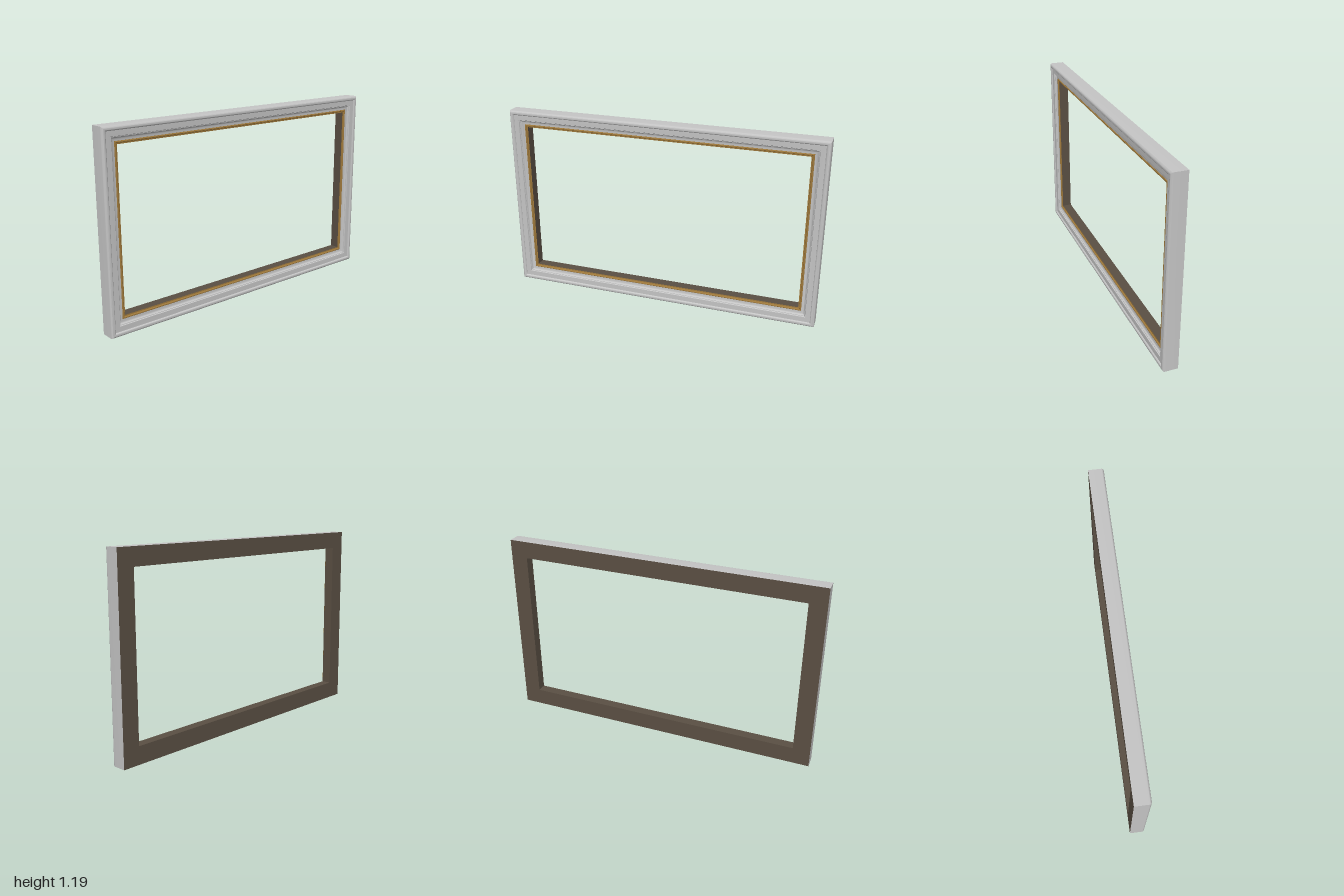
import * as THREE from 'three';
import { toCreasedNormals } from 'three/addons/utils/BufferGeometryUtils.js';

const W = 1, H = 1.19; // half width, full height

// Corner signs, counter-clockwise seen from the front
const CORNERS = [[1, -1], [1, 1], [-1, 1], [-1, -1]];

// Sweeps a profile of [inset, z] points round the rectangle with mitred corners
function mitredRing(profile) {
  const at = ([inset, z], [sx, sy]) =>
    [sx * (W - inset), H / 2 + sy * (H / 2 - inset), z];
  const pos = [];
  for (let i = 0; i < profile.length - 1; i++) {
    for (let k = 0; k < 4; k++) {
      const c = CORNERS[k], d = CORNERS[(k + 1) % 4];
      const a0 = at(profile[i], c), a1 = at(profile[i], d);
      const b0 = at(profile[i + 1], c), b1 = at(profile[i + 1], d);
      pos.push(...a0, ...a1, ...b1, ...a0, ...b1, ...b0);
    }
  }
  const geo = new THREE.BufferGeometry();
  geo.setAttribute('position', new THREE.Float32BufferAttribute(pos, 3));
  return toCreasedNormals(geo, 0.6);
}

// Points along an elliptical arc, angles in degrees
function arc(cx, cz, rx, rz, from, to, n = 6) {
  return Array.from({ length: n + 1 }, (_, i) => {
    const t = THREE.MathUtils.degToRad(from + (to - from) * i / n);
    return [cx + rx * Math.cos(t), cz + rz * Math.sin(t)];
  });
}

export function createModel() {
  const material = (name, color) => {
    const m = new THREE.MeshStandardMaterial({ color });
    m.name = name;
    return m;
  };
  const silver = material('silver', 0xc4c4c4);
  const gold = material('gold', 0xa07a3c);
  const brown = material('brown', 0x5a4f43);

  const group = new THREE.Group();
  group.name = 'frame';
  const add = (name, profile, mat) => {
    const mesh = new THREE.Mesh(mitredRing(profile), mat);
    mesh.name = name;
    group.add(mesh);
  };

  // Outer sides, rounded rim, flat band, step and cove
  add('moulding', [
    [0, -0.047],
    ...arc(0.013, 0.034, 0.013, 0.013, 180, 90),
    ...arc(0.018, 0.038, 0.009, 0.009, 90, 0),
    [0.03, 0.038],
    [0.058, 0.037],
    [0.061, 0.031],
    ...arc(0.088, 0.031, 0.024, 0.013, 180, 270),
  ], silver);

  // Gilded inner bead
  add('innerBead', [
    [0.088, 0.018],
    ...arc(0.094, 0.018, 0.005, 0.005, 180, 0),
    [0.1, 0.015],
    [0.107, 0.014],
  ], gold);

  // Inner wall of the opening and the flat back
  add('backing', [
    [0.107, 0.014],
    [0.107, -0.047],
    [0, -0.047],
  ], brown);

  return group;
}
